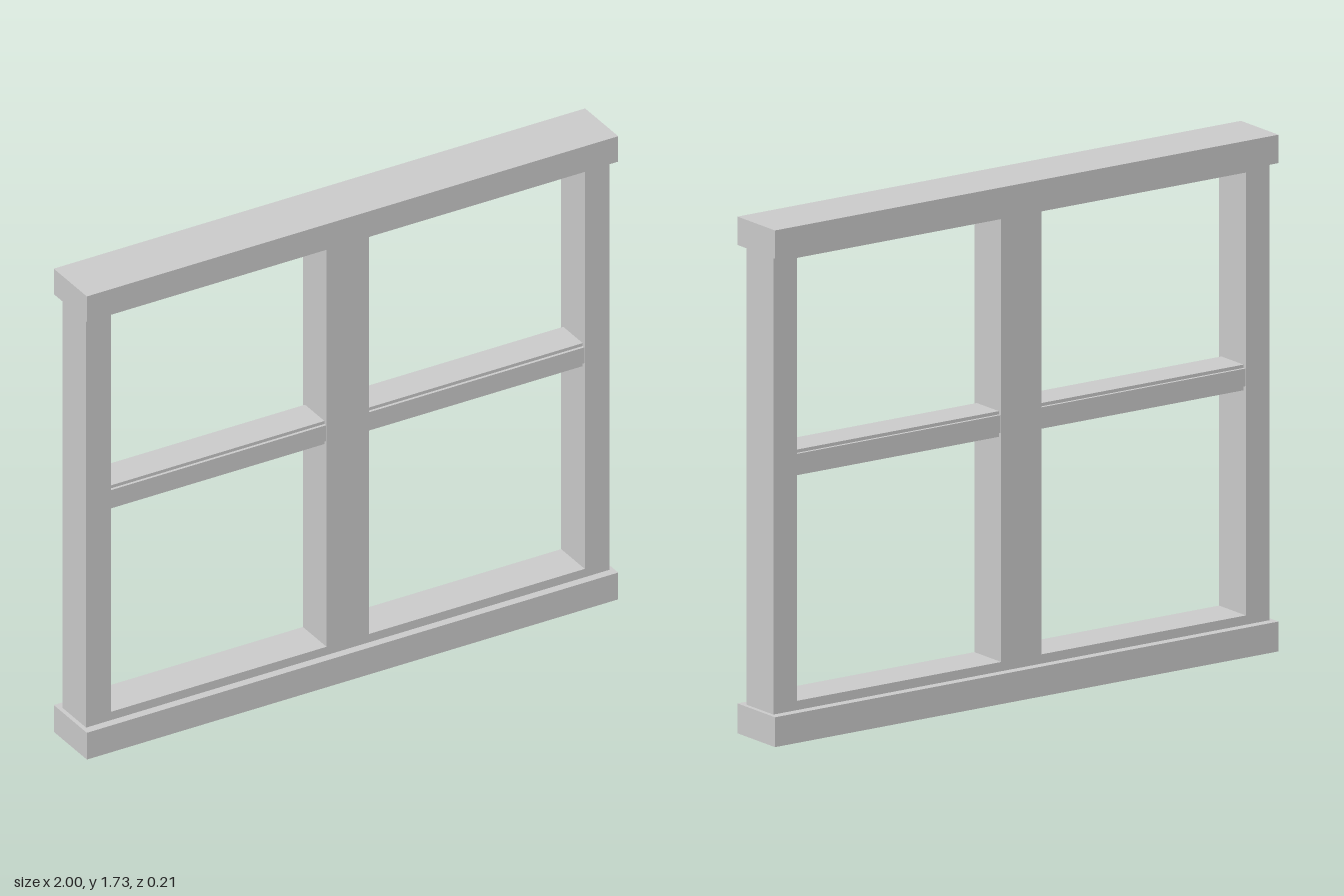
import * as THREE from 'three';

const material = new THREE.MeshStandardMaterial({ color: 0xcccccc, flatShading: true });

// Axis-aligned box from its x, y and z ranges
function box(name, [x0, x1], [y0, y1], [z0, z1]) {
  const mesh = new THREE.Mesh(new THREE.BoxGeometry(x1 - x0, y1 - y0, z1 - z0), material);
  mesh.position.set((x0 + x1) / 2, (y0 + y1) / 2, (z0 + z1) / 2);
  mesh.name = name;
  return mesh;
}

// Traces a rectangle into a shape or hole path
function rect(path, x0, x1, y0, y1) {
  path.moveTo(x0, y0);
  path.lineTo(x1, y0);
  path.lineTo(x1, y1);
  path.lineTo(x0, y1);
  path.closePath();
  return path;
}

export function createModel() {
  const group = new THREE.Group();
  group.name = 'window';

  const inner = 0.08, outer = 0.892; // side edges of each opening
  const frameHalf = 0.074;

  // Sill and header overhang the frame
  group.add(box('sill', [-1, 1], [0, 0.1], [-0.104, 0.104]));
  group.add(box('header', [-1, 1], [1.635, 1.73], [-0.104, 0.104]));

  // Frame with two tall openings: stiles, centre mullion and thin rails in one piece
  const shape = rect(new THREE.Shape(), -0.985, 0.985, 0.1, 1.635);
  for (const [x0, x1] of [[-outer, -inner], [inner, outer]]) {
    shape.holes.push(rect(new THREE.Path(), x0, x1, 0.131, 1.614));
  }
  const frameGeometry = new THREE.ExtrudeGeometry(shape, { depth: frameHalf * 2, bevelEnabled: false });
  frameGeometry.translate(0, 0, -frameHalf);
  const frame = new THREE.Mesh(frameGeometry, material);
  frame.name = 'frame';
  group.add(frame);

  // Crossbars: a taller core with a narrower raised band on both faces
  for (const [side, x] of [['left', [inner, outer]], ['right', [-outer, -inner]]]) {
    const bar = new THREE.Group();
    bar.name = side + 'Crossbar';
    bar.add(box('crossbarCore', x, [0.882, 0.968], [-0.061, 0.061]));
    bar.add(box('crossbarFrontBand', x, [0.898, 0.957], [0.061, 0.071]));
    bar.add(box('crossbarBackBand', x, [0.898, 0.957], [-0.071, -0.061]));
    group.add(bar);
  }

  return group;
}
